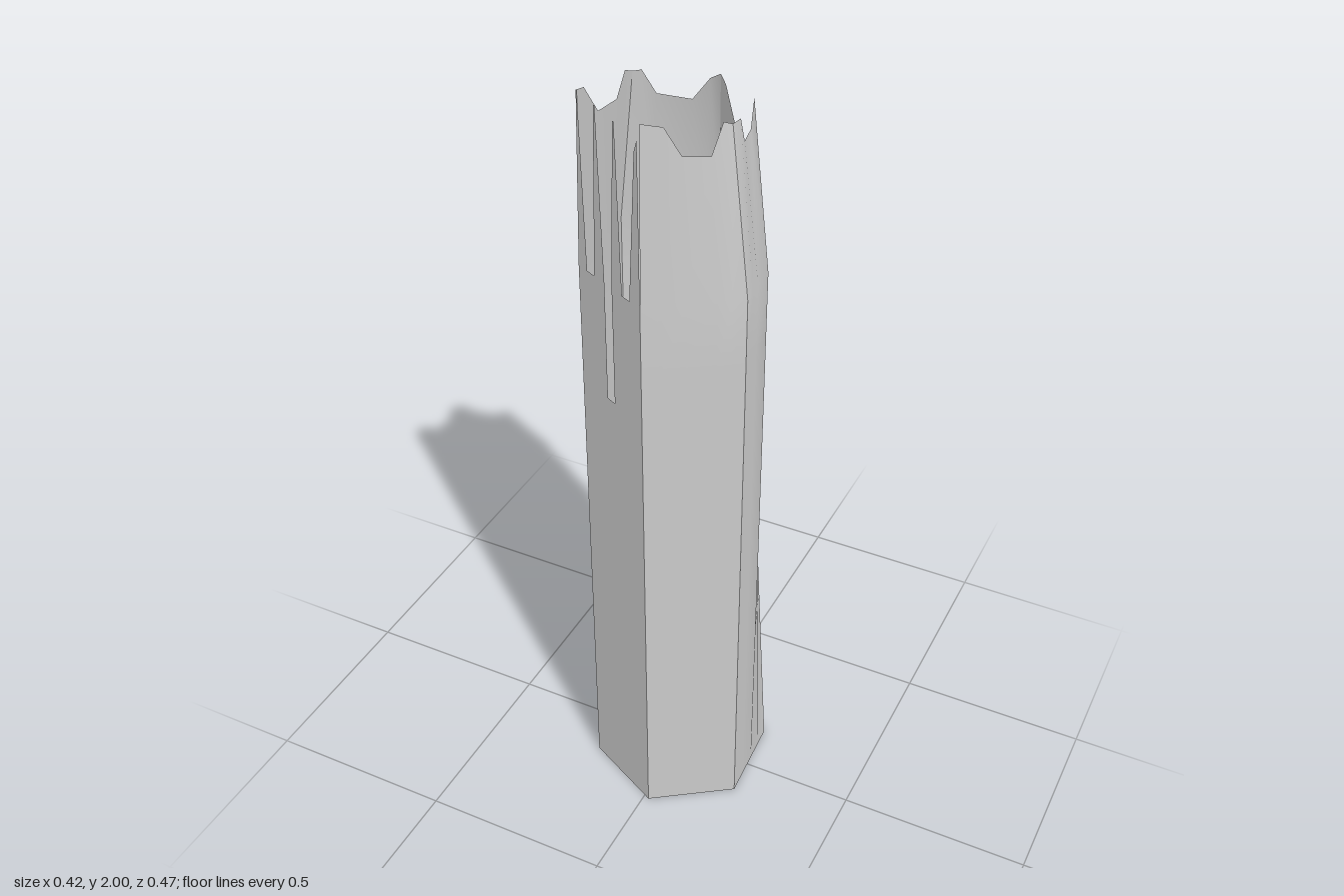
import * as THREE from 'three';

const mat = new THREE.MeshStandardMaterial({ color: 0xcccccc, side: THREE.DoubleSide });
const SHOULDER = 1.57;
const ROWS = [0, 0.5, 1.0, 1.25, 1.4, SHOULDER];

// plan corners of the hexagonal shell, as [x, z]
const A = [0.015, 0.235], B = [0.21, 0.1], D = [-0.017, -0.235];
const E = [-0.212, -0.105], F = [-0.195, 0.13];
const P = [0.202, -0.028], C0 = [0.195, -0.135], C1 = [0.117, -0.17], NOTCH = [0.13, -0.1];

const mix = (a, b, t) => [a[0] + (b[0] - a[0]) * t, a[1] + (b[1] - a[1]) * t];

// the one leaning corner: drifts inward, then runs up into the notch
const leaning = y => y <= 1.4
  ? mix(C0, C1, Math.min(y, 1))
  : mix(C1, NOTCH, (y - 1.4) / 0.35);

// Each panel: plan(t, y) gives its wall, rim lists [t, x, y, z] along the jagged top.
const straight = (a, b) => t => mix(a, b, t);
const panels = {
  frontLeftPanel: {
    plan: straight(A, B),
    rim: [[0, 0.015, 2.0, 0.222], [0.2, 0.055, 1.99, 0.195], [0.42, 0.085, 1.92, 0.17],
      [0.72, 0.13, 1.91, 0.125], [0.86, 0.145, 1.98, 0.1], [1, 0.157, 1.97, 0.08]],
  },
  leftPanel: {
    plan: (t, y) => t < 0.56 ? mix(B, P, t / 0.56) : mix(P, leaning(y), (t - 0.56) / 0.44),
    rim: [[0, 0.157, 1.97, 0.08], [0.14, 0.161, 1.97, 0.05], [0.28, 0.162, 1.91, 0.03],
      [0.56, 0.142, 1.9, -0.045], [0.78, 0.135, 1.96, -0.075], [1, 0.13, 1.75, -0.1]],
  },
  backLeftPanel: {
    plan: (t, y) => mix(leaning(y), D, t),
    rim: [[0, 0.13, 1.75, -0.1], [0.45, 0.085, 1.85, -0.103], [0.8, 0.045, 1.95, -0.125],
      [1, 0.03, 1.97, -0.13]],
  },
  backRightPanel: {
    plan: straight(D, E),
    rim: [[0, 0.03, 1.97, -0.13], [0.16, 0, 1.95, -0.14], [0.34, -0.045, 1.89, -0.143],
      [0.7, -0.12, 1.9, -0.115], [0.85, -0.145, 1.96, -0.093], [1, -0.16, 1.96, -0.078]],
  },
  rightPanel: {
    plan: straight(E, F),
    rim: [[0, -0.16, 1.96, -0.078], [0.15, -0.166, 1.97, -0.055], [0.3, -0.175, 1.91, -0.03],
      [0.65, -0.183, 1.91, 0.04], [0.85, -0.182, 1.99, 0.1], [1, -0.18, 2.0, 0.137]],
  },
};

// Wall panel: straight rows up to the shoulder, then leaning in to the rim.
function wall({ plan, rim }) {
  const pos = [], idx = [], n = rim.length;
  for (const y of ROWS) {
    for (const [t] of rim) {
      const [x, z] = plan(t, y);
      pos.push(x, y, z);
    }
  }
  for (const [, x, y, z] of rim) pos.push(x, y, z);
  for (let j = 0; j < ROWS.length; j++) {
    for (let i = 0; i < n - 1; i++) {
      const a = j * n + i, b = a + 1, c = a + n, d = c + 1;
      idx.push(a, b, d, a, d, c);
    }
  }
  const geo = new THREE.BufferGeometry();
  geo.setAttribute('position', new THREE.Float32BufferAttribute(pos, 3));
  geo.setIndex(idx);
  geo.computeVertexNormals();
  return geo;
}

// Flat front panel with three slits that leave four tapering teeth.
function slitWall() {
  const shape = new THREE.Shape([
    [F[0], 0], [A[0], 0], [A[0], SHOULDER],
    [0.014, 1.97], [0.004, 1.94], [-0.02, SHOULDER], [-0.045, SHOULDER],
    [-0.058, 1.98], [-0.063, 1.98], [-0.08, SHOULDER],
    [-0.08, 1.26], [-0.105, 1.26], [-0.105, SHOULDER],
    [-0.119, 1.99], [-0.124, 1.99], [-0.14, SHOULDER], [-0.165, SHOULDER],
    [-0.177, 2.0], [-0.18, 2.0], [F[0], SHOULDER],
  ].map(p => new THREE.Vector2(...p)));
  const geo = new THREE.ShapeGeometry(shape);
  const p = geo.attributes.position;
  for (let i = 0; i < p.count; i++) {
    const t = (p.getX(i) - F[0]) / (A[0] - F[0]);
    p.setZ(i, F[1] + (A[1] - F[1]) * t);
  }
  geo.computeVertexNormals();
  return geo;
}

export function createModel() {
  const model = new THREE.Group();
  model.name = 'brokenHexagonalShell';
  const add = (name, geo) => {
    const mesh = new THREE.Mesh(geo, mat);
    mesh.name = name;
    model.add(mesh);
  };
  for (const [name, panel] of Object.entries(panels)) add(name, wall(panel));
  add('slitFrontPanel', slitWall());
  return model;
}
